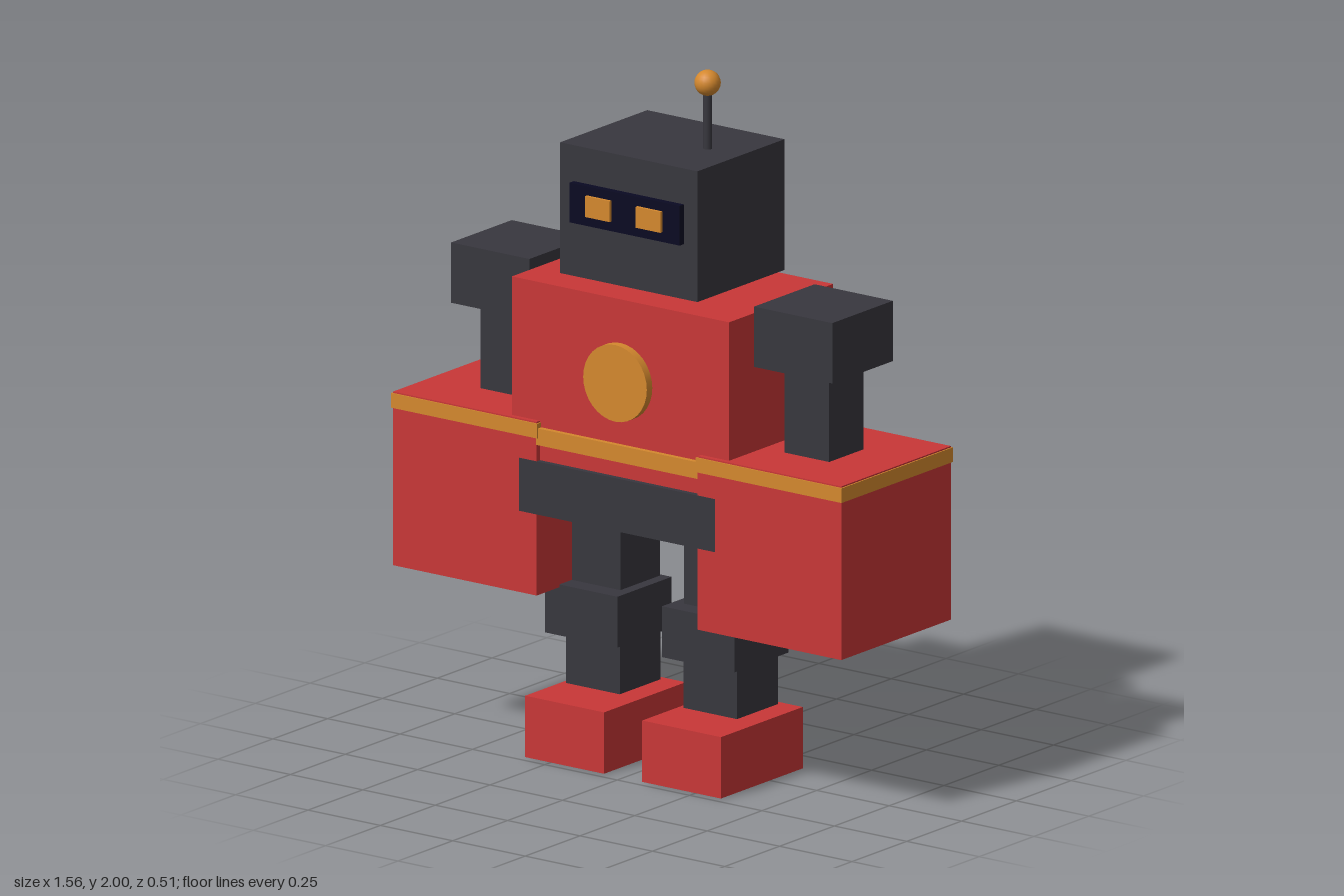
import * as THREE from 'three';

const mat = (name, color) => {
  const m = new THREE.MeshStandardMaterial({ color });
  m.name = name;
  return m;
};

export function createModel() {
  const red = mat('red armour', 0xc83737);
  const dark = mat('dark metal', 0x38373e);
  const gold = mat('gold', 0xd4882e);
  const black = mat('visor black', 0x0a0a22);

  const robot = new THREE.Group();
  robot.name = 'robot';

  const add = (name, geometry, material, x, y, z) => {
    const mesh = new THREE.Mesh(geometry, material);
    mesh.name = name;
    mesh.position.set(x, y, z);
    robot.add(mesh);
    return mesh;
  };
  // Box given by its limits on each axis
  const box = (name, material, [x0, x1], [y0, y1], [z0, z1]) =>
    add(name, new THREE.BoxGeometry(x1 - x0, y1 - y0, z1 - z0), material,
      (x0 + x1) / 2, (y0 + y1) / 2, (z0 + z1) / 2);
  // The same box on both sides of the body
  const pair = (name, material, [x0, x1], y, z) => {
    box(name + 'Left', material, [x0, x1], y, z);
    box(name + 'Right', material, [-x1, -x0], y, z);
  };

  // Torso
  box('chest', red, [-0.375, 0.375], [0.865, 1.375], [-0.24, 0.235]);
  box('belt', gold, [-0.28, 0.28], [0.912, 0.96], [0.2, 0.25]);
  box('pelvis', dark, [-0.338, 0.338], [0.713, 0.865], [-0.251, 0.251]);
  add('chestDisc', new THREE.CylinderGeometry(0.11, 0.11, 0.04, 32), gold, 0, 1.14, 0.24)
    .rotation.x = Math.PI / 2;

  // Head with visor and eyes
  box('head', dark, [-0.237, 0.237], [1.4, 1.775], [-0.2, 0.197]);
  box('visor', black, [-0.19, 0.19], [1.558, 1.672], [0.19, 0.216]);
  pair('eye', gold, [0.045, 0.13], [1.586, 1.646], [0.21, 0.225]);

  // Antenna
  add('antennaRod', new THREE.CylinderGeometry(0.0125, 0.0125, 0.19, 12), dark, 0.123, 1.86, 0);
  add('antennaBall', new THREE.SphereGeometry(0.0365, 20, 14), gold, 0.123, 1.9635, 0);

  // Arms with heavy gauntlets
  pair('shoulder', dark, [0.388, 0.658], [1.227, 1.4], [-0.138, 0.138]);
  pair('upperArm', dark, [0.447, 0.602], [0.95, 1.23], [-0.078, 0.078]);
  pair('gauntlet', red, [0.278, 0.774], [0.48, 0.978], [-0.25, 0.25]);
  pair('gauntletTrim', gold, [0.274, 0.778], [0.932, 0.974], [-0.254, 0.254]);

  // Legs
  pair('thigh', dark, [0.11, 0.29], [0.48, 0.69], [-0.09, 0.09]);
  pair('knee', dark, [0.077, 0.327], [0.342, 0.488], [-0.1, 0.147]);
  pair('shin', dark, [0.11, 0.295], [0.19, 0.345], [-0.093, 0.093]);
  pair('foot', red, [0.066, 0.338], [0, 0.176], [-0.15, 0.223]);

  return robot;
}
